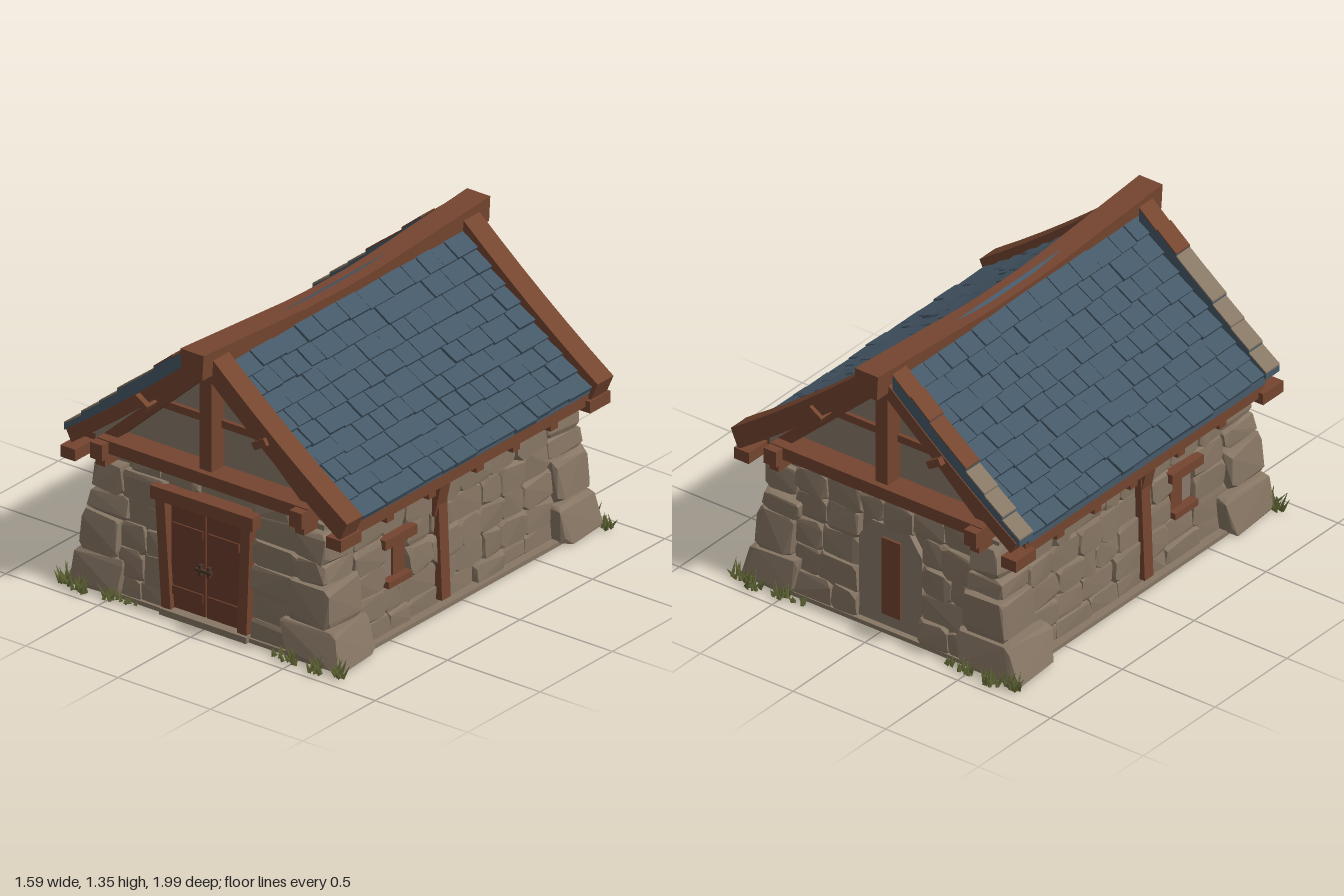
import * as THREE from 'three';
import { mergeGeometries } from 'three/addons/utils/BufferGeometryUtils.js';
import { ConvexGeometry } from 'three/addons/geometries/ConvexGeometry.js';

const mat = (name, color) => { const m = new THREE.MeshStandardMaterial({ color }); m.name = name; return m; };

export function createModel() {
  const root = new THREE.Group();
  root.name = 'stoneCottage';
  const wood = mat('wood', 0x74452f), doorWood = mat('doorWood', 0x6b3d2a), slate = mat('slate', 0x455867);
  const stoneMat = mat('stone', 0x877664), plaster = mat('plaster', 0x89786a);
  const grass = mat('grass', 0x5c6132), iron = mat('iron', 0x4a3328);
  let seed = 11;
  const rnd = (a = 0, b = 1) => { seed = (seed * 16807) % 2147483647; return a + (b - a) * seed / 2147483647; };

  const add = (name, geo, m) => {
    const mesh = new THREE.Mesh(geo, m);
    mesh.name = name;
    root.add(mesh);
    return mesh;
  };
  // box given by its limits
  const box = (name, m, x0, x1, y0, y1, z0, z1) =>
    add(name, new THREE.BoxGeometry(x1 - x0, y1 - y0, z1 - z0).translate((x0 + x1) / 2, (y0 + y1) / 2, (z0 + z1) / 2), m);
  // straight timber between two points of an upright plane
  const bar = (name, m, x1, y1, x2, y2, t, z0, z1) => {
    const g = new THREE.BoxGeometry(Math.hypot(x2 - x1, y2 - y1), t, z1 - z0);
    g.rotateZ(Math.atan2(y2 - y1, x2 - x1)).translate((x1 + x2) / 2, (y1 + y2) / 2, (z0 + z1) / 2);
    return add(name, g, m);
  };
  const prism = (name, m, pts, z0, z1) => {
    const g = new THREE.ExtrudeGeometry(new THREE.Shape(pts.map(p => new THREE.Vector2(...p))), { depth: z1 - z0, bevelEnabled: false });
    return add(name, g.translate(0, 0, z0), m);
  };
  // irregular block: a box with jittered, cut corners, drawn in towards its top by the taper
  const block = (x0, x1, y0, y1, z0, z1, j = 0.012, taper = 0) => {
    const lo = [x0, y0, z0], hi = [x1, y1, z1], pts = [];
    for (let c = 0; c < 8; c++) {
      const bit = [c & 1, (c >> 1) & 1, (c >> 2) & 1];
      for (let k = 0; k < 3; k++) {
        const p = bit.map((b, i) => {
          const cut = i === k ? Math.min(0.04, (hi[i] - lo[i]) * 0.24) * rnd(0.6, 1.2) : rnd(0, j);
          return b ? hi[i] - cut : lo[i] + cut;
        });
        const t = taper * (p[1] - y0) / (y1 - y0);
        pts.push(new THREE.Vector3(p[0] - Math.sign(p[0]) * t, Math.max(0, p[1]), p[2] - Math.sign(p[2]) * t * 0.4));
      }
    }
    return new ConvexGeometry(pts);
  };

  // ground slab and core behind the stones
  box('floor', stoneMat, -0.69, 0.69, 0, 0.02, -0.89, 0.89);
  box('wallCore', stoneMat, -0.59, 0.59, 0.015, 0.64, -0.83, 0.83);

  // rows of stones facing +z, turned to each side; hole = [a0, a1, y0, y1]
  const wall = (name, half, dist, bounds, hole, turn) => {
    const list = [];
    for (let r = 0; r + 1 < bounds.length; r++) {
      const y0 = bounds[r], y1 = bounds[r + 1], mid = (y0 + y1) / 2;
      const spans = mid > hole[2] && mid < hole[3] ? [[-half, hole[0]], [hole[1], half]] : [[-half, half]];
      for (const [s, e] of spans) {
        const n = Math.max(1, Math.round((e - s) / rnd(0.15, 0.21)));
        let a = s;
        for (let i = 0; i < n; i++) {
          const b = i === n - 1 ? e : s + (e - s) * (i + 1 + rnd(-0.25, 0.25)) / n;
          const out = dist - mid * 0.05 + rnd(0, 0.022);
          list.push(block(a - 0.005, b + 0.005, y0 - (r ? rnd(0, 0.02) : 0), y1 + 0.008, out - 0.13, out));
          a = b;
        }
      }
    }
    add(name, mergeGeometries(list).rotateY(turn), stoneMat);
  };
  wall('frontWall', 0.48, 0.88, [0, 0.11, 0.24, 0.36, 0.48, 0.6], [-0.24, 0.23, 0, 0.6], 0);
  wall('backWall', 0.48, 0.88, [0, 0.13, 0.26, 0.39, 0.52, 0.64], [-0.14, 0.2, 0, 0.52], Math.PI);
  const sideRows = [0, 0.1, 0.22, 0.34, 0.46, 0.64];
  wall('leftWall', 0.68, 0.65, sideRows, [-0.47, -0.31, 0.22, 0.46], Math.PI / 2);
  wall('rightWall', 0.68, 0.65, sideRows, [0.31, 0.47, 0.22, 0.46], -Math.PI / 2);
  // loose top course over the door
  add('overDoorStones', mergeGeometries([[-0.44, -0.28], [-0.28, -0.07], [0.2, 0.42]].map(
    ([a, b]) => block(a, b, 0.59, 0.665, 0.74, 0.855))), stoneMat);

  // big corner stones, smaller towards the top
  const corners = [];
  const cy = [0, 0.18, 0.37, 0.47, 0.61], cx = [0.75, 0.685, 0.645, 0.64], cz = [0.93, 0.915, 0.895, 0.885];
  for (const sx of [-1, 1]) for (const sz of [-1, 1]) for (let i = 0; i < 4; i++) {
    const X = [sx * (0.44 + rnd(-0.03, 0.04)), sx * (cx[i] + rnd(-0.01, 0.01))].sort((a, b) => a - b);
    const Z = [sz * (0.66 + rnd(-0.04, 0.04)), sz * (cz[i] + rnd(-0.008, 0.008))].sort((a, b) => a - b);
    corners.push(block(X[0], X[1], cy[i], cy[i + 1] + 0.012, Z[0], Z[1], 0.02, [0.05, 0.015, 0.01, 0.01][i]));
  }
  add('cornerStones', mergeGeometries(corners), stoneMat);

  // front double door
  box('doorSurround', doorWood, -0.24, 0.23, 0.02, 0.6, 0.8, 0.845);
  box('doorStep', stoneMat, -0.24, 0.23, 0, 0.03, 0.8, 0.91);
  for (const [a, b, h] of [[-0.205, -0.021, -0.045], [-0.013, 0.175, 0]]) {
    box('doorLeaf', doorWood, a, b, 0.035, 0.525, 0.84, 0.87);
    for (const y of [0.1, 0.4]) box('doorBatten', doorWood, a + 0.01, b - 0.01, y, y + 0.04, 0.865, 0.878);
    box('doorHandle', iron, h, h + 0.013, 0.235, 0.285, 0.87, 0.89);
  }
  box('doorLatch', iron, -0.06, 0.025, 0.255, 0.268, 0.878, 0.895);
  bar('doorPost', wood, -0.215, 0.03, -0.25, 0.55, 0.05, 0.8, 0.895);
  bar('doorPost', wood, 0.195, 0.03, 0.215, 0.55, 0.05, 0.8, 0.895);
  bar('doorLintel', wood, -0.29, 0.568, 0.265, 0.572, 0.062, 0.8, 0.91);

  // narrow back opening with a plank
  prism('backSurround', plaster, [[-0.2, 0], [0.14, 0], [0.14, 0.42], [0.07, 0.52], [-0.13, 0.52], [-0.2, 0.42]], -0.86, -0.8);
  box('backPlank', wood, -0.09, 0.01, 0.08, 0.46, -0.872, -0.85);

  // side windows, posts, eave beams and rafter tails
  for (const s of [-1, 1]) {
    const side = (name, m, x0, x1, ...r) => box(name, m, Math.min(s * x0, s * x1), Math.max(s * x0, s * x1), ...r);
    side('windowRecess', plaster, 0.5, 0.615, 0.22, 0.46, 0.3, 0.48);
    side('windowShutter', wood, 0.58, 0.625, 0.24, 0.42, 0.32, 0.4);
    side('windowLintel', wood, 0.58, 0.665, 0.415, 0.46, 0.28, 0.5);
    side('windowSill', wood, 0.58, 0.66, 0.22, 0.25, 0.31, 0.47);
    bar('sidePost', wood, s * 0.645, 0.04, s * 0.62, 0.64, 0.07, 0.07, 0.13);
    bar('postBracket', wood, s * 0.625, 0.44, s * 0.67, 0.64, 0.05, 0.075, 0.145);
    side('eaveBeam', wood, 0.67, 0.735, 0.625, 0.685, -0.8, 0.8);
    for (const z of [-0.93, 0.79]) side('eaveBeamEnd', wood, 0.68, 0.76, 0.6, 0.655, z, z + 0.14);
    for (const z of [-0.58, -0.32, -0.07, 0.26, 0.55]) side('rafterTail', wood, 0.58, 0.73, 0.595, 0.64, z - 0.025, z + 0.025);
  }

  // roof profile: slightly hollow slope; the strip's lower edge may stop short by the inset
  const top = x => 1.3 - 0.88 * x + 0.13 * x * x;
  const strip = (s, x0, x1, up, down, inset = 0) => {
    const at = (a, b, d) => Array.from({ length: 7 }, (_, i) => a + (b - a) * i / 6).map(x => [s * x, top(x) + d]);
    return [...at(x0, x1, up), ...at(x0, x1 - inset, down).reverse()];
  };
  const slope = strip(1, 0, 0.68, -0.06, -0.06).slice(0, 7);
  prism('gable', plaster, [[0.68, 0.6], ...[...slope].reverse(), ...slope.slice(1).map(p => [-p[0], p[1]]), [-0.68, 0.6]], -0.8, 0.8);
  for (const s of [-1, 1]) {
    const lift = s < 0 ? 0.02 : 0;
    prism('roofBoards', wood, strip(s, 0, 0.735, -0.03, -0.065), -0.83, 0.83);
    prism('slateBed', slate, strip(s, 0, 0.745, lift - 0.018, -0.03), -0.825, 0.825);
    // overlapping slates, each tipped up at its lower edge
    const tiles = [];
    for (let r = 0; r < 9; r++) {
      const x0 = 0.04 + r * 0.078, x1 = x0 + 0.082, dx = x1 - x0 + 0.02, dy = top(x1) - top(x0 - 0.02);
      let z = -0.825;
      while (z < 0.82) {
        let e = Math.min(0.825, z + rnd(0.09, 0.17));
        if (0.825 - e < 0.06) e = 0.825;
        const len = Math.hypot(dx, dy) + rnd(-0.01, 0.01);
        const g = new THREE.BoxGeometry(len, 0.028, e - z - 0.006);
        g.rotateX(rnd(-0.03, 0.03)).rotateZ(Math.atan2(dy, dx) + 0.14 + rnd(-0.03, 0.03));
        g.translate((x0 + x1) / 2 - 0.01, top((x0 + x1) / 2) - 0.012 + lift + rnd(-0.004, 0.004), (z + e) / 2);
        if (s < 0) g.rotateY(Math.PI);
        tiles.push(g);
        z = e;
      }
    }
    add('roofSlates', mergeGeometries(tiles), slate);
  }

  // gable ends: bargeboards, edge slates and timber frame
  for (const f of [1, -1]) {
    const zr = (a, b) => f > 0 ? [a, b] : [-b, -a];
    prism('bargeboard', wood, strip(1, 0.04, 0.785, 0.048, -0.07, 0.04), ...zr(0.81, 0.92));
    prism('lowerBargeboard', wood, strip(-1, 0.04, 0.745, 0.012, -0.065, 0.03), ...zr(0.81, 0.91));
    // slates lie over the lower bargeboard, bare wood on top near the ridge
    const bare = f > 0 ? 0.26 : 0.45;
    for (let i = 0; i < 7; i++) {
      const x = 0.075 + i * 0.098, x1 = Math.min(x + 0.103, 0.76);
      const up = [0.08, 0.085, 0.08, 0.075, 0.065, 0.05, 0.04][i] + 0.006 * (i % 2);
      prism('edgeSlate', slate, strip(-1, x, x1, up, 0.01), ...zr(0.81, 0.905));
      prism('edgeSlateTop', x + 0.05 < bare ? wood : stoneMat, strip(-1, x, x1, up + 0.008, up), ...zr(0.81, 0.905));
    }
    box('crossBeam', wood, -0.57, 0.57, 0.685, 0.745, ...zr(0.78, 0.92));
    bar('kingPost', wood, -0.005, 0.74, -0.005, 1.22, 0.065, ...zr(0.78, 0.89));
    box('collarTie', wood, -0.31, 0.31, 0.93, 0.965, ...zr(0.78, 0.82));
    for (const s of [-1, 1]) {
      bar('gableBrace', wood, s * 0.56, 0.72, s * 0.03, 1.2, 0.05, ...zr(0.78, 0.87));
      bar('tiePeg', wood, s * 0.29, 0.965, s * 0.355, 1.005, 0.035, ...zr(0.8, 0.94));
      box('beamEnd', wood, s * 0.54 - 0.033, s * 0.54 + 0.033, 0.665, 0.74, ...zr(0.8, 0.965));
      box('beamPeg', wood, s * 0.54 - 0.025, s * 0.54 + 0.025, 0.625, 0.67, ...zr(0.84, 0.935));
    }
  }

  // ridge beam rising towards both ends
  let ridge = new THREE.BoxGeometry(0.12, 0.075, 1.98, 1, 1, 14);
  const rp = ridge.attributes.position;
  for (let i = 0; i < rp.count; i++) {
    const z = rp.getZ(i), t = Math.max(0, (Math.abs(z) - 0.2) / 0.79), up = rp.getY(i) > 0;
    rp.setXYZ(i, rp.getX(i) * (up ? 0.95 : 0.85) * (1 + 0.1 * t), up ? 1.29 + 0.055 * t : 1.215 + 0.01 * t, z);
  }
  ridge = ridge.toNonIndexed();
  ridge.computeVertexNormals();
  add('ridgeBeam', ridge, wood);

  // grass tufts round the corners
  const blades = [];
  for (const sx of [-1, 1]) for (const sz of [-1, 1])
    for (const [tx, tz, n, h] of [[0.735, 0.92, 16, 1], [0.65, 0.95, 14, 1], [0.5, 0.935, 12, 0.8], [0.41, 0.92, 6, 0.5]])
      for (let i = 0; i < n; i++) {
        const len = rnd(0.05, 0.1) * h;
        const g = new THREE.ConeGeometry(0.011, len, 3);
        g.translate(0, len / 2, 0).rotateZ(rnd(-0.6, 0.6)).rotateX(rnd(-0.5, 0.5));
        blades.push(g.translate(sx * (tx + rnd(-0.04, 0.03)), 0.006, sz * (tz + rnd(-0.02, 0.02))));
      }
  add('grassTufts', mergeGeometries(blades), grass);
  return root;
}
